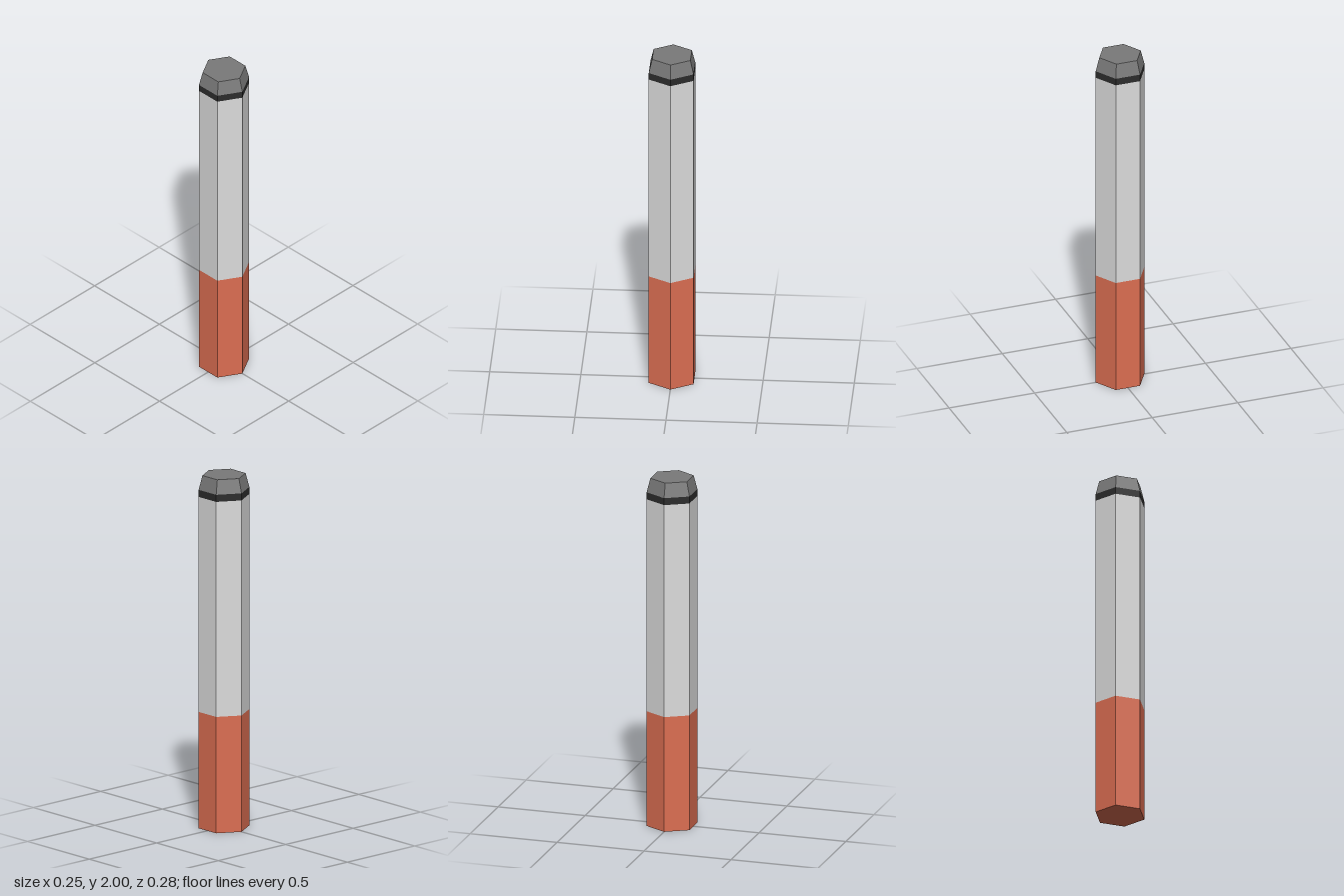
import * as THREE from 'three';

const SIDES = 6;
const R = 0.142;      // hexagon corner radius of the shaft
const R_TOP = 0.121;  // corner radius of the bevelled tip

function material(name, color) {
  const m = new THREE.MeshStandardMaterial({ color, flatShading: true });
  m.name = name;
  return m;
}

export function createModel() {
  const group = new THREE.Group();
  group.name = 'hexagonalStick';

  const orange = material('burntOrange', 0xdc6e52);
  const pale = material('paleGrey', 0xdcdcdc);
  const black = material('nearBlack', 0x2c2c2c);
  const grey = material('midGrey', 0x7a7a7a);

  const add = (name, geometry, mat, y) => {
    const mesh = new THREE.Mesh(geometry, mat);
    mesh.name = name;
    mesh.position.y = y;
    group.add(mesh);
  };

  // Stacked hexagonal sleeves: name, bottom, top, top radius, colour
  const sleeves = [
    ['grip', 0, 0.66, R, orange],
    ['shaft', 0.66, 1.88, R, pale],
    ['band', 1.88, 1.92, R, black],
    ['bevelledTip', 1.92, 2, R_TOP, grey],
  ];
  for (const [name, y0, y1, rTop, mat] of sleeves) {
    add(name, new THREE.CylinderGeometry(rTop, R, y1 - y0, SIDES, 1, true), mat, (y0 + y1) / 2);
  }

  // Flat ends, with corners turned to match the sleeves
  const hexagon = (r, tilt) => new THREE.CircleGeometry(r, SIDES, Math.PI / 6).rotateX(tilt);
  add('tipFace', hexagon(R_TOP, -Math.PI / 2), grey, 2);
  add('baseFace', hexagon(R, Math.PI / 2), orange, 0);

  return group;
}
